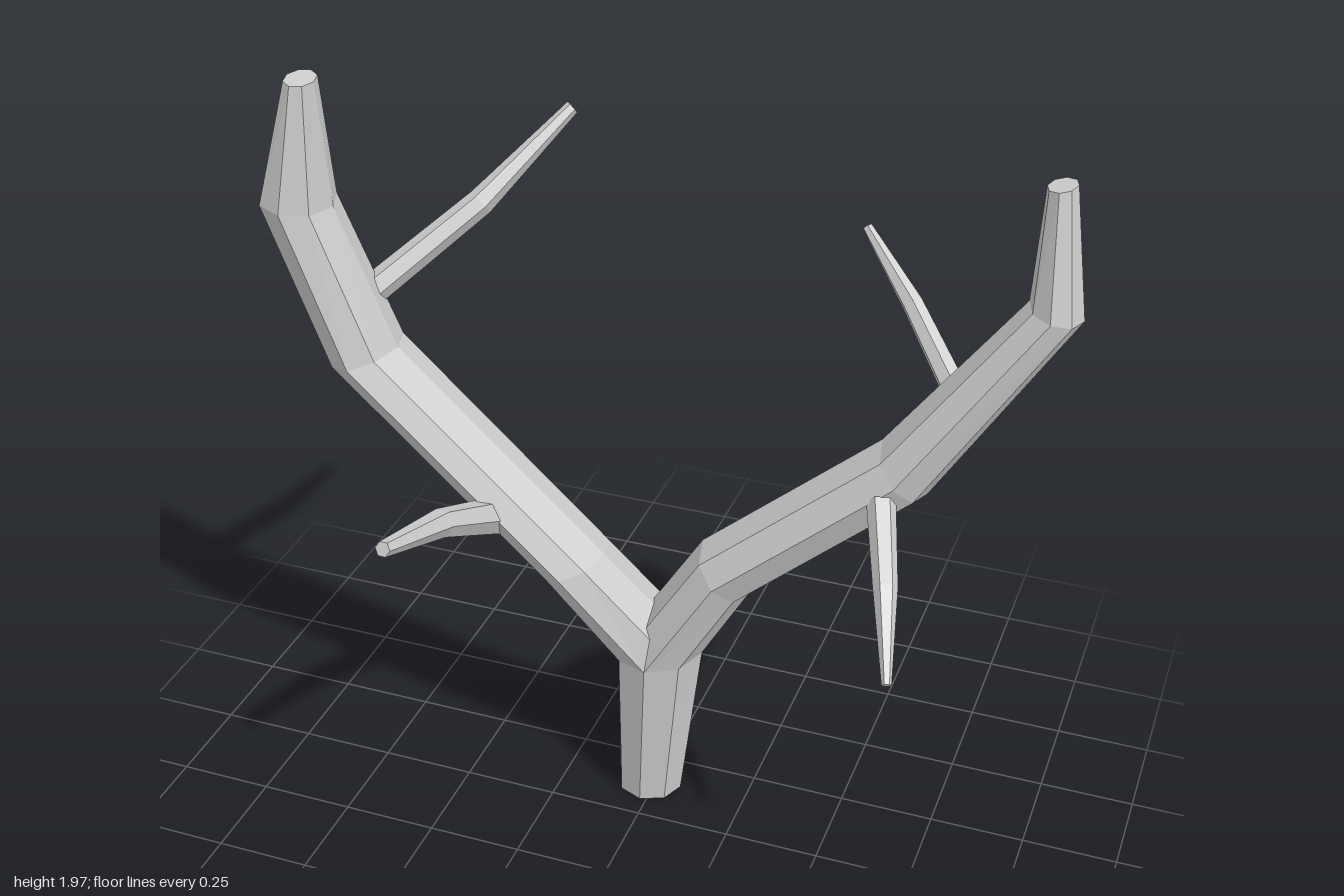
import * as THREE from 'three';

const material = new THREE.MeshStandardMaterial({ color: 0xcccccc, flatShading: true });
const V = (x, y, z) => new THREE.Vector3(x, y, z);

// Skin a list of elliptical rings {c, u, v}; u x v points back along the path
function loft(name, rings, sides, capStart, capEnd) {
  const pos = [], idx = [];
  for (const { c, u, v } of rings) {
    for (let i = 0; i < sides; i++) {
      const t = (i / sides) * Math.PI * 2;
      const p = c.clone().addScaledVector(u, Math.cos(t)).addScaledVector(v, Math.sin(t));
      pos.push(p.x, p.y, p.z);
    }
  }
  const last = (rings.length - 1) * sides;
  for (let i = 0; i < sides; i++) {
    const n = (i + 1) % sides;
    for (let k = 0; k < last; k += sides) {
      idx.push(k + i, k + sides + i, k + n, k + n, k + sides + i, k + sides + n);
    }
    if (i > 0 && i < sides - 1) {
      if (capStart) idx.push(0, i, n);
      if (capEnd) idx.push(last, last + n, last + i);
    }
  }
  let geo = new THREE.BufferGeometry();
  geo.setAttribute('position', new THREE.Float32BufferAttribute(pos, 3));
  geo.setIndex(idx);
  geo = geo.toNonIndexed();
  geo.computeVertexNormals();
  const mesh = new THREE.Mesh(geo, material);
  mesh.name = name;
  return mesh;
}

// Ring from its left and right edge points, its depth centre and half depth
const ring = (lx, ly, rx, ry, z, depth) => ({
  c: V((lx + rx) / 2, (ly + ry) / 2, z),
  u: V((rx - lx) / 2, (ry - ly) / 2, 0),
  v: V(0, 0, depth),
});

// Thin tapering twig through three points
function twig(name, points, radii) {
  const dir = points[2].clone().sub(points[0]).normalize();
  const u = V(0, 1, 0).cross(dir).normalize();
  const v = u.clone().cross(dir);
  const rings = points.map((c, i) => ({
    c,
    u: u.clone().multiplyScalar(radii[i]),
    v: v.clone().multiplyScalar(radii[i]),
  }));
  return loft(name, rings, 6, true, true);
}

export function createModel() {
  const group = new THREE.Group();
  group.name = 'forkedBranch';

  // Trunk, whose top ring starts both limbs
  const fork = ring(-0.11, 0.45, 0.125, 0.47, -0.145, 0.125);
  group.add(loft('trunk', [ring(-0.105, 0, 0.07, 0, -0.145, 0.087), fork], 8, true, false));

  // Two main limbs
  group.add(loft('rightLimb', [
    fork,
    ring(-0.29, 0.69, -0.13, 0.75, -0.1, 0.12),
    ring(-0.84, 1.22, -0.67, 1.27, -0.07, 0.12),
    ring(-1.0, 1.65, -0.81, 1.64, -0.05, 0.105),
    ring(-0.9, 1.97, -0.83, 1.96, -0.04, 0.057),
  ], 8, false, true));
  group.add(loft('leftLimb', [
    fork,
    ring(0.12, 0.82, 0.25, 0.69, -0.15, 0.125),
    ring(0.56, 1.19, 0.68, 1.06, -0.18, 0.12),
    ring(0.87, 1.6, 1.0, 1.57, -0.215, 0.08),
    ring(0.88, 1.88, 0.95, 1.89, -0.23, 0.047),
  ], 8, false, true));

  // Side twigs
  group.add(twig('rightUpperTwig',
    [V(-0.79, 1.36, -0.11), V(-0.54, 1.58, -0.32), V(-0.36, 1.79, -0.5)], [0.04, 0.035, 0.018]));
  group.add(twig('rightFrontTwig',
    [V(-0.4, 0.84, -0.05), V(-0.435, 0.97, 0.22), V(-0.445, 1.07, 0.51)], [0.05, 0.037, 0.02]));
  group.add(twig('leftUpperTwig',
    [V(0.72, 1.31, -0.24), V(0.57, 1.47, -0.36), V(0.43, 1.62, -0.43)], [0.033, 0.027, 0.013]));
  group.add(twig('leftFrontTwig',
    [V(0.59, 1.08, -0.08), V(0.655, 0.96, 0.1), V(0.71, 0.8, 0.26)], [0.036, 0.03, 0.012]));

  return group;
}
